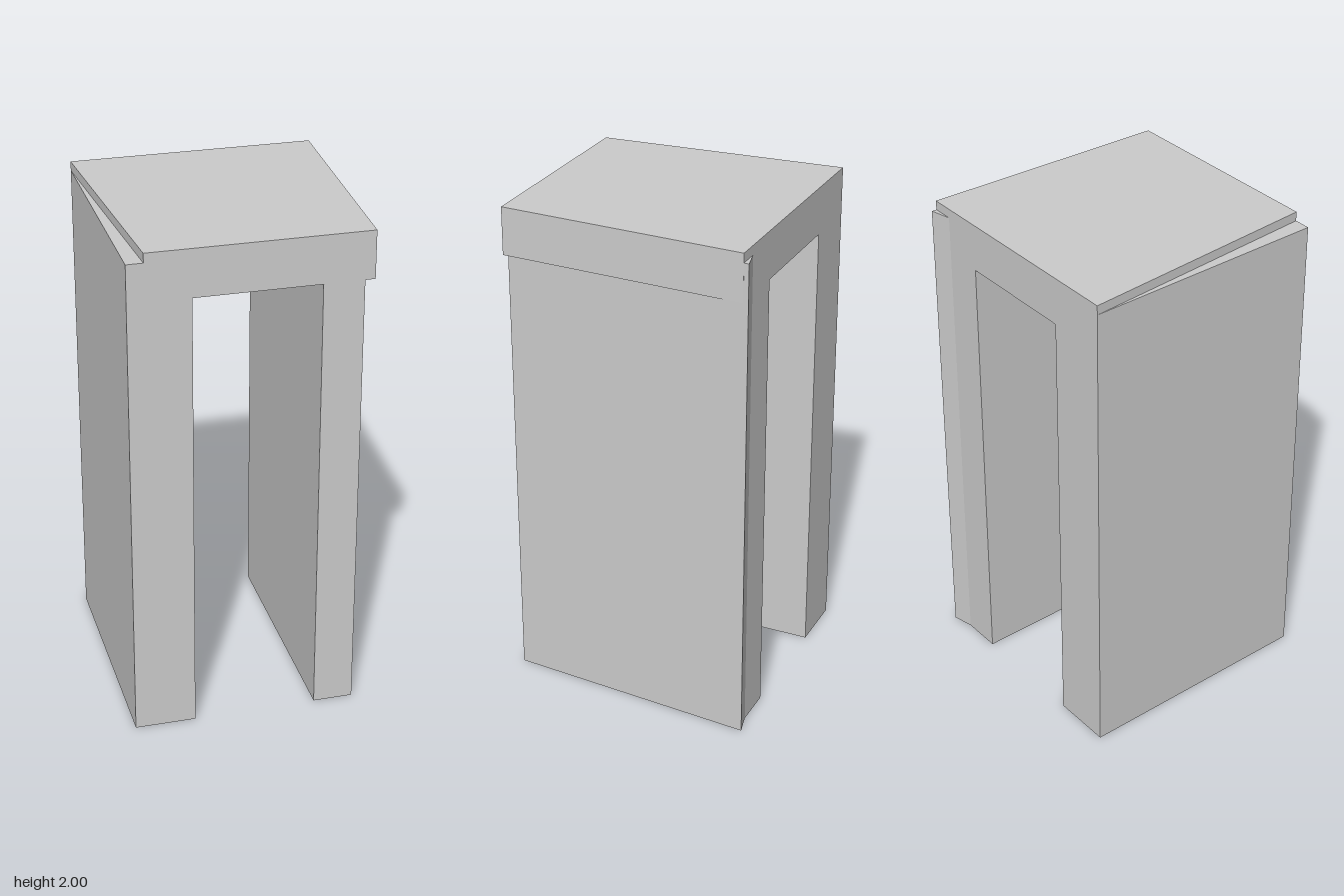
import * as THREE from 'three';

// Upright prism from a plan outline of [x, z] points
function prism(name, outline, bottom, top, material) {
  const shape = new THREE.Shape(outline.map(([x, z]) => new THREE.Vector2(x, z)));
  const geometry = new THREE.ExtrudeGeometry(shape, { depth: top - bottom, bevelEnabled: false });
  geometry.rotateX(Math.PI / 2);
  geometry.translate(0, top, 0);
  const mesh = new THREE.Mesh(geometry, material);
  mesh.name = name;
  return mesh;
}

export function createModel() {
  const group = new THREE.Group();
  group.name = 'archway';
  const material = new THREE.MeshStandardMaterial({ color: 0xcccccc, flatShading: true });
  const front = 0.503, back = -0.485, inner = 0.244, outer = 0.485, legTop = 1.963;

  // Straight leg on the right
  group.add(prism('rightLeg', [
    [-outer, back], [-inner, back], [-inner, front], [-outer, front],
  ], 0, legTop, material));

  // Tapered leg on the left, its back corner pulled out
  group.add(prism('leftLeg', [
    [inner, back], [0.402, back], [outer, -0.505], [0.402, front], [inner, front],
  ], 0, legTop, material));

  // Lintel slab, narrower at the front
  group.add(prism('lintel', [
    [-outer, back], [outer - 0.001, back], [0.441, front], [-0.42, front],
  ], 1.81, 2, material));

  return group;
}
